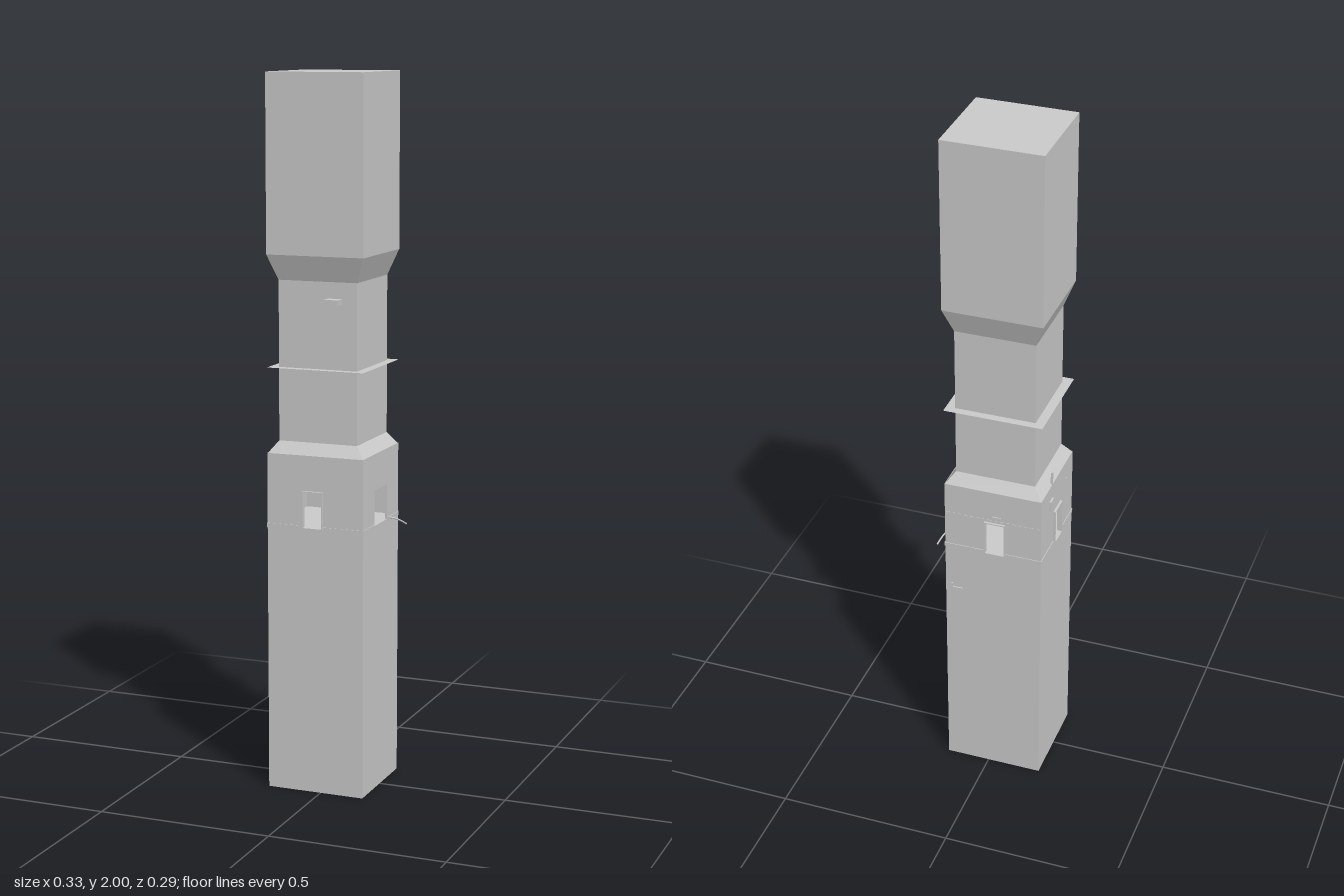
import * as THREE from 'three';

const X0 = -0.157, X1 = 0.126, Z0 = -0.139, Z1 = 0.136; // shaft footprint
const CX = (X0 + X1) / 2, CZ = (Z0 + Z1) / 2;
const WIDE = [X1 - X0, Z1 - Z0], NECK = [0.23, 0.229];

export function createModel() {
  const group = new THREE.Group();
  const mat = new THREE.MeshStandardMaterial({ color: 0xcccccc, side: THREE.DoubleSide });

  const add = (name, geometry, parent = group) => {
    const mesh = new THREE.Mesh(geometry, mat);
    mesh.name = name;
    parent.add(mesh);
    return mesh;
  };

  // Box given by its lower and upper corners
  const box = (name, a, b, parent) => {
    const mesh = add(name, new THREE.BoxGeometry(b[0] - a[0], b[1] - a[1], b[2] - a[2]), parent);
    mesh.position.set((a[0] + b[0]) / 2, (a[1] + b[1]) / 2, (a[2] + b[2]) / 2);
    return mesh;
  };

  // Square tower section whose bottom and top sizes may differ
  const section = (name, y0, y1, bottom, top) => {
    const g = new THREE.BoxGeometry(1, 1, 1);
    const p = g.attributes.position;
    for (let i = 0; i < p.count; i++) {
      const up = p.getY(i) > 0;
      const s = up ? top : bottom;
      p.setXYZ(i, CX + p.getX(i) * s[0], up ? y1 : y0, CZ + p.getZ(i) * s[1]);
    }
    g.computeVertexNormals();
    add(name, g);
  };

  section('lowerShaft', 0, 0.757, WIDE, WIDE);
  section('roomRoofSlope', 0.96, 0.995, WIDE, NECK);
  section('neck', 0.995, 1.44, NECK, NECK);
  section('flare', 1.44, 1.51, NECK, WIDE);
  section('upperShaft', 1.51, 2, WIDE, WIDE);

  // Thin sheet round the neck
  const sheet = add('neckSheet', new THREE.PlaneGeometry(...WIDE));
  sheet.rotation.x = -Math.PI / 2;
  sheet.position.set(CX, 1.2, CZ);

  const rect = (path, a, b, c, d) => {
    path.moveTo(a, c);
    path.lineTo(b, c);
    path.lineTo(b, d);
    path.lineTo(a, d);
    path.closePath();
    return path;
  };

  // Plate in local x/y with a rectangular hole, from depth z0 to z1
  const plate = (outer, hole, z0, z1) => {
    const shape = rect(new THREE.Shape(), ...outer);
    shape.holes.push(rect(new THREE.Path(), ...hole));
    return new THREE.ExtrudeGeometry(shape, { depth: z1 - z0, bevelEnabled: false }).translate(0, 0, z0);
  };

  // Room walls: turn, half width, distance from centre, opening and frame
  const HX = WIDE[0] / 2, HZ = WIDE[1] / 2;
  const walls = [
    ['front', 0, HX, HZ, -0.033, 0.007, true],
    ['left', Math.PI / 2, HZ, HX, -0.05, 0.05, false],
    ['back', Math.PI, HX, HZ, -0.007, 0.033, true],
    ['right', -Math.PI / 2, HZ, HX, -0.028, 0.028, true],
  ];
  for (const [side, turn, half, out, a, b, framed] of walls) {
    const wall = new THREE.Group();
    wall.name = side + 'Wall';
    wall.position.set(CX, 0, CZ);
    wall.rotation.y = turn;
    group.add(wall);
    const l = framed ? a - (side === 'right' ? 0 : 0.002) : a;
    const r = framed ? b + (side === 'right' ? 0 : 0.014) : b;
    // keep the front and back openings in line across the room
    const [o0, o1] = side === 'back' ? [-r0(walls[0])[1], -r0(walls[0])[0]] : side === 'front' ? r0(walls[0]) : [l, r];
    add(side + 'Panel', plate([-half, half, 0.755, 0.962], [o0, o1, 0.76, 0.86], out - 0.006, out), wall);
    if (framed) {
      add(side + 'WindowFrame', plate([o0 - 0.003, o1 + 0.003, 0.757, 0.863],
        [o0, o1, 0.76, 0.86], out - 0.008, out + 0.007), wall);
    }
    // Ledge strips either side of the opening
    box(side + 'Ledge', [-half - 0.001, 0.753, out - 0.002], [o0 - 0.005, 0.765, out + 0.002], wall);
    box(side + 'Ledge', [o1 + 0.005, 0.753, out - 0.002], [half + 0.001, 0.765, out + 0.002], wall);
  }

  // Small fittings
  box('neckBox', [0.015, 1.38, 0.11], [0.055, 1.395, 0.144]);
  box('wallBox', [-0.163, 0.89, -0.07], [-0.155, 0.92, -0.045]);
  box('ventPipe', [-0.157, 0.96, -0.045], [-0.152, 1.0, -0.038]);
  box('smallFitting', [-0.16, 0.9, 0.07], [-0.156, 0.91, 0.078]);
  box('backSign', [-0.04, 0.877, -0.142], [-0.015, 0.884, -0.138]);
  box('backBracket', [0.075, 0.61, -0.143], [0.11, 0.617, -0.138]);
  box('backBracketHook', [0.104, 0.617, -0.143], [0.11, 0.63, -0.138]);

  // Row of short dashes along the back wall
  for (let i = 0; i < 16; i++) {
    const x = X0 + 0.004 + i * 0.0177;
    box('backDash', [x, 0.867, -0.1405], [x + 0.01, 0.871, -0.138]);
  }

  // Loose cable by the back left corner
  const curve = new THREE.CatmullRomCurve3([
    [0.124, 0.762, -0.068], [0.136, 0.76, -0.07], [0.147, 0.754, -0.083],
    [0.154, 0.745, -0.1], [0.159, 0.735, -0.118],
  ].map((p) => new THREE.Vector3(...p)));
  add('cable', new THREE.TubeGeometry(curve, 16, 0.0025, 6));
  return group;
}

// Opening of a framed front wall in its own local x
function r0(wall) {
  return [wall[4] - 0.001, wall[5] + 0.014];
}
